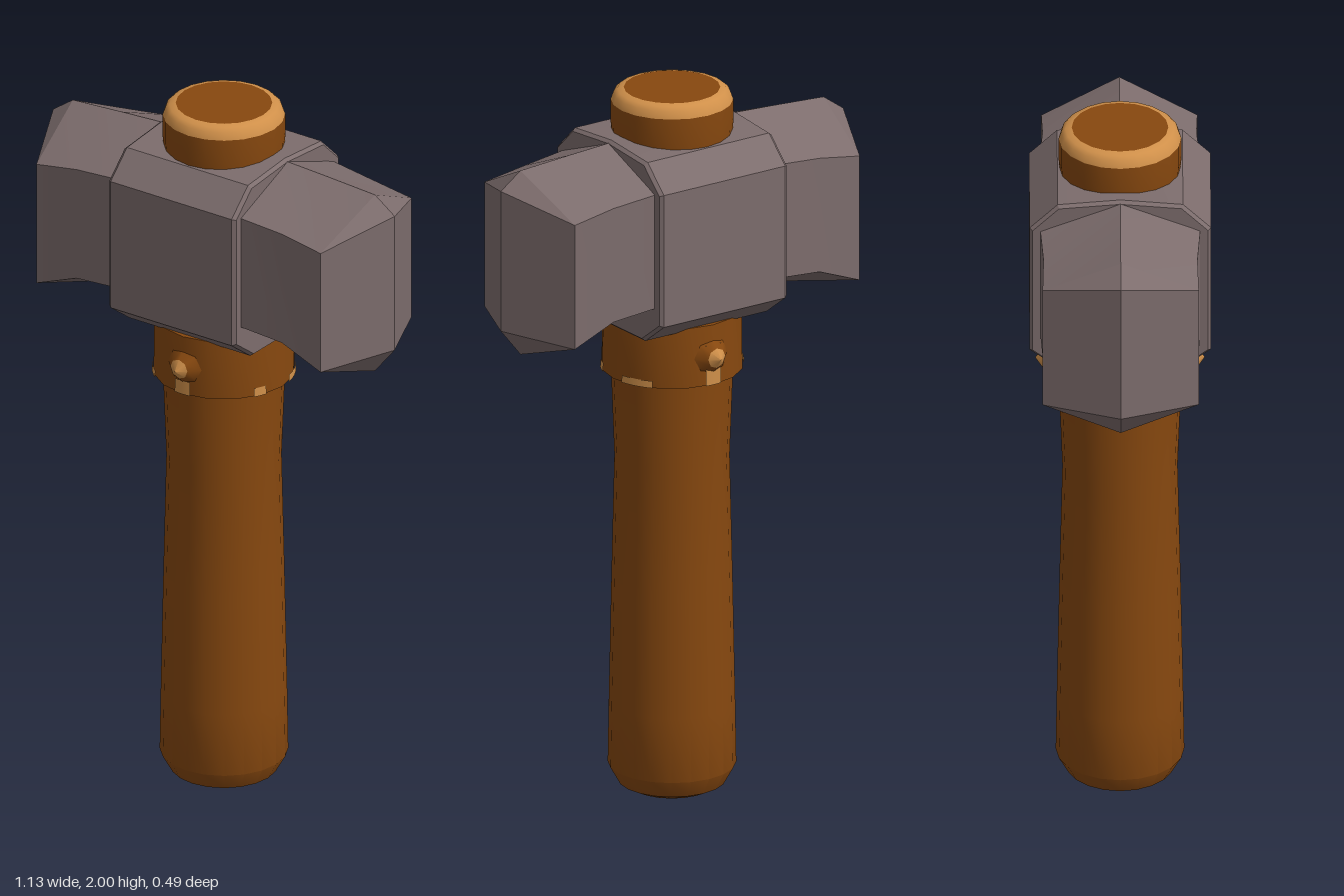
import * as THREE from 'three';
import { toCreasedNormals } from 'three/addons/utils/BufferGeometryUtils.js';

export function createModel() {
  const model = new THREE.Group();
  model.name = 'sledgehammer';

  const material = (name, color, extra = {}) =>
    Object.assign(new THREE.MeshStandardMaterial({ color, ...extra }), { name });
  const wood = material('brown wood', 0x87480f);
  const lightWood = material('worn light wood', 0xd0904a, { side: THREE.DoubleSide });
  const iron = material('grey iron', 0x7d6d6d);

  const add = (name, geometry, mat, parent = model) => {
    const mesh = new THREE.Mesh(geometry, mat);
    mesh.name = name;
    parent.add(mesh);
    return mesh;
  };
  const lathe = (points, sides = 20) =>
    toCreasedNormals(new THREE.LatheGeometry(points.map(([r, y]) => new THREE.Vector2(r, y)), sides), 0.6);

  // Handle with a rounded butt and a slight waist
  add('handle', lathe([
    [0, 0], [0.11, 0.003], [0.145, 0.02], [0.173, 0.07], [0.17, 0.25],
    [0.163, 0.6], [0.155, 0.95], [0.165, 1.22],
  ]), wood);

  // Collar under the head
  add('collar', lathe([[0.15, 1.205], [0.192, 1.205], [0.19, 1.375], [0.15, 1.375]], 16), wood);

  // Handle end above the head, with a worn rim
  add('handleTop', lathe([[0.16, 1.85], [0.165, 1.9], [0.165, 1.966]]), wood);
  add('handleTopRim', lathe([[0.165, 1.966], [0.158, 1.986], [0.147, 1.996], [0.13, 2]]), lightWood);
  add('handleTopFace', new THREE.CircleGeometry(0.13, 20).rotateX(-Math.PI / 2).translate(0, 2, 0), wood);

  // Pegs at the front and back of the collar, with light tips
  for (const side of [1, -1]) {
    const peg = new THREE.Group();
    peg.name = side > 0 ? 'frontPeg' : 'backPeg';
    peg.position.set(0, 1.285, side * 0.18);
    peg.rotation.x = side * Math.PI / 2;
    add('pegBase', new THREE.CylinderGeometry(0.028, 0.055, 0.028, 8).translate(0, 0.014, 0), wood, peg);
    add('pegTip', new THREE.ConeGeometry(0.028, 0.02, 8).translate(0, 0.038, 0), lightWood, peg);
    model.add(peg);
  }

  // Worn patches on the collar: start angle, width, bottom, top
  for (const [start, width, y0, y1] of [
    [-1.05, 0.4, 1.205, 1.226], [-0.13, 0.26, 1.205, 1.245], [1.05, 0.2, 1.205, 1.23],
    [1.75, 0.5, 1.205, 1.225], [Math.PI - 0.13, 0.26, 1.205, 1.32], [4.05, 0.3, 1.205, 1.225],
  ]) {
    add('wornPatch', new THREE.CylinderGeometry(0.193, 0.194, y1 - y0, 4, 1, true, start, width)
      .translate(0, (y0 + y1) / 2, 0), lightWood);
  }

  // Central block: chamfered section swept along x
  const section = new THREE.Shape([
    [0.155, 1.37], [0.236, 1.43], [0.236, 1.8], [0.165, 1.868], [0, 1.882],
    [-0.165, 1.868], [-0.236, 1.8], [-0.236, 1.43], [-0.155, 1.37],
  ].map(([z, y]) => new THREE.Vector2(z, y)));
  const block = new THREE.ExtrudeGeometry(section, {
    depth: 0.4, bevelEnabled: true, bevelSize: 0.008, bevelThickness: 0.01, bevelSegments: 1,
  });
  add('headBlock', toCreasedNormals(block.translate(0, 0, -0.2).rotateY(Math.PI / 2), 0.3), iron);

  // Striking arms: six-sided rings that end in an upright wedge
  const ring = (xSide, xMid, z, top, shoulder, hip, bottom) => [
    [xMid, top, 0], [xSide, shoulder, z], [xSide, hip, z],
    [xMid, bottom, 0], [xSide, hip, -z], [xSide, shoulder, -z],
  ];
  const rings = [
    ring(0.19, 0.19, 0.216, 1.884, 1.8, 1.475, 1.38),
    ring(0.34, 0.34, 0.207, 1.876, 1.785, 1.46, 1.372),
    ring(0.47, 0.5, 0.21, 1.866, 1.765, 1.41, 1.34),
    ring(0.565, 0.565, 0, 1.82, 1.82, 1.42, 1.42),
  ];
  const same = (p, q) => p.every((v, i) => v === q[i]);
  const positions = [];
  const triangle = (...p) => {
    if (!same(p[0], p[1]) && !same(p[1], p[2]) && !same(p[2], p[0])) positions.push(...p.flat());
  };
  for (let i = 0; i < rings.length - 1; i++) {
    for (let j = 0; j < 6; j++) {
      const k = (j + 1) % 6;
      triangle(rings[i][j], rings[i][k], rings[i + 1][k]);
      triangle(rings[i][j], rings[i + 1][k], rings[i + 1][j]);
    }
  }
  const armGeometry = new THREE.BufferGeometry();
  armGeometry.setAttribute('position', new THREE.Float32BufferAttribute(positions, 3));
  const arm = toCreasedNormals(armGeometry, 0.3);
  add('leftArm', arm, iron);
  add('rightArm', arm, iron).rotation.y = Math.PI;

  return model;
}
